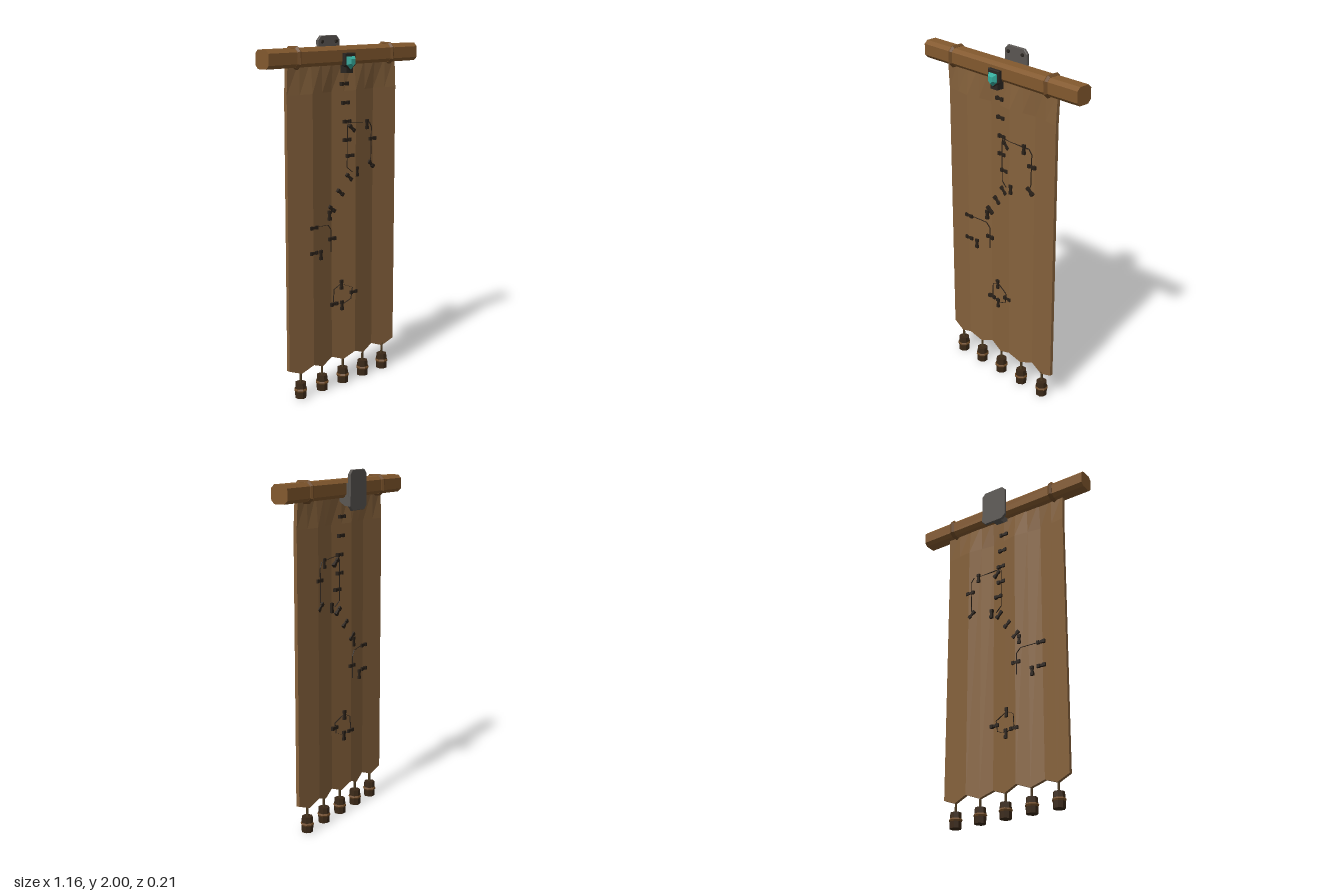
import * as THREE from 'three';

const mat = (name, color, extra = {}) => {
  const m = new THREE.MeshStandardMaterial({ color, flatShading: true, ...extra });
  m.name = name;
  return m;
};

export function createModel() {
  const root = new THREE.Group();
  const wood = mat('wood', 0x83592e);
  const cloth = mat('cloth', 0x86623c);
  const binding = mat('binding', 0x6e4a26);
  const iron = mat('iron', 0x5a5652);
  const dark = mat('dark metal', 0x2b2621);
  const stitchMat = mat('stitch', 0x2a2119);
  const tasselMat = mat('tassel', 0x3a2817);
  const cordMat = mat('cord', 0x4d3b22);
  const gemMat = mat('gem', 0x35ab9c);

  const add = (name, geo, material, x = 0, y = 0, z = 0, parent = root) => {
    const mesh = new THREE.Mesh(geo, material);
    mesh.name = name;
    mesh.position.set(x, y, z);
    parent.add(mesh);
    return mesh;
  };
  const box = (w, h, d) => new THREE.BoxGeometry(w, h, d);
  const poly = pts => new THREE.Shape(pts.map(p => new THREE.Vector2(...p)));
  // rectangle with cut corners
  const chamfered = (w, h, c) => poly([[-w + c, -h], [w - c, -h], [w, -h + c], [w, h - c],
    [w - c, h], [-w + c, h], [-w, h - c], [-w, -h + c]]);
  // extrusion centred on z, with an optional single bevel
  const extrude = (shape, depth, thick = 0, size = 0) =>
    new THREE.ExtrudeGeometry(shape, {
      depth, bevelEnabled: thick > 0, bevelThickness: thick, bevelSize: size, bevelSegments: 1,
    }).translate(0, 0, -depth / 2);

  // Cross rod and its two bindings
  const rodY = 1.895, rodZ = 0.01;
  add('rod', extrude(chamfered(0.05, 0.05, 0.019), 1.16).rotateY(Math.PI / 2), wood, 0, rodY, rodZ);
  for (const x of [-0.363, 0.363]) {
    add('rodBinding', extrude(chamfered(0.051, 0.051, 0.02), 0.004, 0.012, 0.01).rotateY(Math.PI / 2),
      binding, x, rodY, rodZ);
  }

  // Pleated cloth: folds fade out under the rod, lower hem is a zigzag
  const clothZ = 0.0185;
  const foldZ = [-0.009, -0.0005, 0.013, 0, -0.013, 0, 0.013, 0, -0.013, 0.0005, 0.009]
    .map((z, i, a) => (i < 1 || i > 9 ? z : [0, 0, 0.013, 0, -0.013, 0, 0.013, 0, -0.013, 0, 0][i] || (a[i - 1] + a[i + 1]) / 2));
  const foldAt = x => {
    const t = THREE.MathUtils.clamp((x + 0.42) / 0.084, 0, 9.999);
    const i = Math.floor(t);
    return THREE.MathUtils.lerp(foldZ[i], foldZ[i + 1], t - i);
  };
  let sheet = new THREE.BoxGeometry(0.84, 2, 0.02, 10, 2, 1);
  const p = sheet.attributes.position;
  for (let i = 0; i < p.count; i++) {
    const x = p.getX(i), row = Math.round(p.getY(i));
    const col = Math.round((x + 0.42) / 0.084);
    p.setY(i, row === 1 ? 1.88 : row === 0 ? 1.7 : col % 2 ? 0.14 : 0.172);
    if (row < 1) p.setZ(i, p.getZ(i) + foldAt(x));
  }
  sheet = sheet.toNonIndexed();
  sheet.computeVertexNormals();
  add('cloth', sheet, cloth, 0, 0, clothZ);

  // Stitches that pass through the cloth: x, y, angle in degrees
  const stitches = [
    [0, 1.74, 0], [0.01, 1.635, 0], [0.02, 1.53, 0], [0.055, 1.49, -42], [0.185, 1.5, 90],
    [0.24, 1.413, 0], [0.02, 1.427, 0], [0.042, 1.336, 0], [0.228, 1.267, -42], [0.095, 1.24, 90],
    [0.035, 1.214, -42], [-0.027, 1.133, -38], [-0.09, 1.048, -38], [-0.111, 1.013, 90],
    [-0.248, 0.966, 0], [-0.09, 0.876, 0], [-0.248, 0.823, 0], [-0.19, 0.802, 90],
    [-0.02, 0.595, 90], [0.069, 0.537, 0], [-0.074, 0.489, 0], [-0.016, 0.471, 90],
  ];
  for (const [x, y, deg] of stitches) {
    const g = new THREE.Group();
    g.name = 'stitch';
    g.position.set(x, y, clothZ + foldAt(x) * 0.7);
    g.rotation.z = THREE.MathUtils.degToRad(deg);
    root.add(g);
    add('stitchBar', box(0.05, 0.014, 0.04), stitchMat, 0, 0, 0, g);
    for (const s of [-1, 1]) add('stitchEnd', box(0.018, 0.02, 0.044), stitchMat, s * 0.019, 0, 0, g);
  }

  // Fine threads joining the stitches, standing edge-on out of the cloth
  const threads = [
    [[0.23, 1.29], [0.235, 1.48], [0.215, 1.51], [0.03, 1.525], [0.022, 1.5], [0.022, 1.27], [0.06, 1.24]],
    [[-0.235, 0.968], [-0.12, 0.96], [-0.095, 0.93], [-0.095, 0.8]],
    [[-0.02, 0.6], [-0.07, 0.575], [-0.075, 0.5], [-0.016, 0.475], [0.05, 0.5], [0.06, 0.565], [-0.02, 0.6]],
  ];
  for (const path of threads) {
    for (let i = 1; i < path.length; i++) {
      const [x0, y0] = path[i - 1], [x1, y1] = path[i];
      const x = (x0 + x1) / 2;
      const t = add('thread', box(Math.hypot(x1 - x0, y1 - y0), 0.0015, 0.032), stitchMat,
        x, (y0 + y1) / 2, clothZ + foldAt(x));
      t.rotation.z = Math.atan2(y1 - y0, x1 - x0);
      t.rotation.order = 'ZYX';
      t.rotation.y = -Math.atan2(foldAt(x1) - foldAt(x0), Math.hypot(x1 - x0, y1 - y0));
    }
  }

  // Wall plate, bolts and arm
  add('wallPlate', extrude(chamfered(0.082, 0.107, 0.022), 0.01, 0.004, 0.003), iron, 0, 1.89, -0.094);
  for (const x of [-0.054, 0.054]) for (const y of [1.815, 1.967]) {
    add('bolt', new THREE.CylinderGeometry(0.009, 0.012, 0.008, 6).rotateX(Math.PI / 2), dark, x, y, -0.082);
  }
  const arm = poly([[0.085, 1.8], [0.085, 1.89], [0.04, 1.925], [0.03, 1.925], [0.03, 1.85],
    [-0.005, 1.85], [-0.005, 1.825], [0.03, 1.8]]);
  add('bracketArm', extrude(arm, 0.052).rotateY(Math.PI / 2), iron);

  // Shield mount with the faceted gem
  const shield = (w, top, side, tip) => poly([[-w, top], [-w, side], [0, tip], [w, side], [w, top]]);
  add('gemMount', extrude(shield(0.039, 0.036, -0.024, -0.05), 0.018, 0.004, 0.004), dark, 0, rodY - 0.028 + 0.003, 0.067);
  add('mountFoot', box(0.052, 0.045, 0.045), dark, 0, 1.823, 0.052);
  add('gem', extrude(shield(0.016, 0.014, -0.01, -0.024), 0.004, 0.02, 0.014), gemMat, 0, 1.863, 0.081);

  // Hanging tassels: cord, cap, band and skirt
  for (let i = -2; i <= 2; i++) {
    const g = new THREE.Group();
    g.name = 'tassel';
    g.position.set(i * 0.169, 0, 0.021);
    root.add(g);
    const tier = (name, r0, r1, y0, y1, m, n = 8) =>
      add(name, new THREE.CylinderGeometry(r1, r0, y1 - y0, n).rotateY(Math.PI / n), m, 0, (y0 + y1) / 2, 0, g);
    tier('tasselCord', 0.007, 0.007, 0.08, 0.155, cordMat, 6);
    tier('tasselCap', 0.034, 0.031, 0.052, 0.09, tasselMat);
    tier('tasselBandLower', 0.034, 0.039, 0.038, 0.047, binding);
    tier('tasselBandUpper', 0.039, 0.034, 0.047, 0.056, binding);
    tier('tasselSkirt', 0.033, 0.034, 0, 0.042, tasselMat);
  }
  return root;
}
